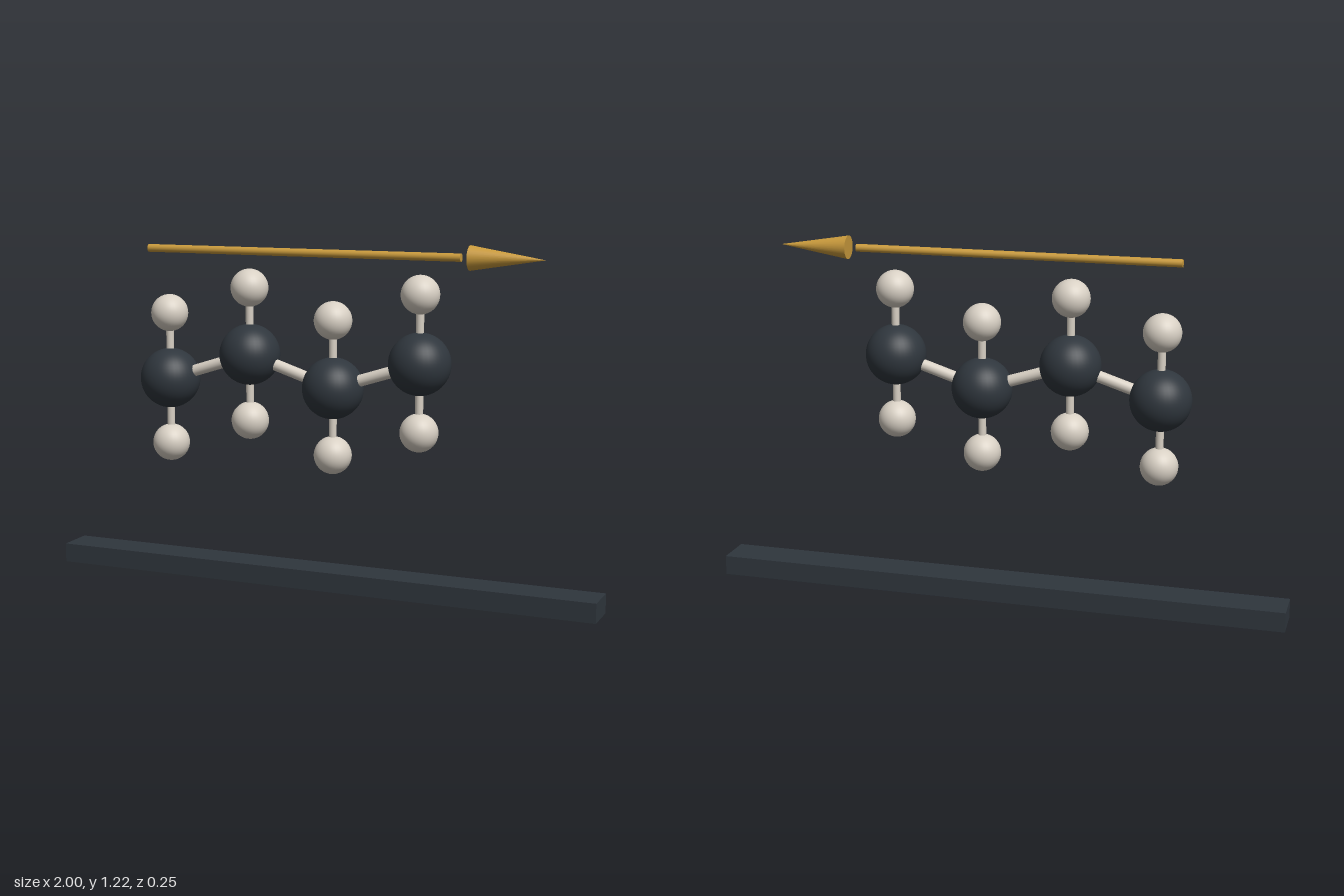
import * as THREE from 'three';

export function createModel() {
  const model = new THREE.Group();
  const material = (name, color) => {
    const m = new THREE.MeshStandardMaterial({ color });
    m.name = name;
    return m;
  };
  const charcoal = material('charcoal', 0x2f363d);
  const ivory = material('ivory', 0xd8d0c4);
  const gold = material('gold', 0xc99a3c);

  const add = (name, geometry, mat, x, y, z, parent = model) => {
    const mesh = new THREE.Mesh(geometry, mat);
    mesh.name = name;
    mesh.position.set(x, y, z);
    parent.add(mesh);
    return mesh;
  };

  // Straight rod between two points in the plane of the chain
  const rod = (name, x0, y0, x1, y1, radius, z, mat, parent) => {
    const length = Math.hypot(x1 - x0, y1 - y0);
    const mesh = add(name, new THREE.CylinderGeometry(radius, radius, length, 24), mat,
      (x0 + x1) / 2, (y0 + y1) / 2, z, parent);
    mesh.rotation.z = Math.atan2(y1 - y0, x1 - x0) - Math.PI / 2;
  };

  // Base bar
  add('baseBar', new THREE.BoxGeometry(2, 0.068, 0.133), charcoal, 0, 0.034, -0.0605);

  // Zigzag chain: large atoms, each with a small atom above and below
  const chain = new THREE.Group();
  chain.name = 'moleculeChain';
  model.add(chain);
  const z = 0.022, reach = 0.23;
  const largeSphere = new THREE.SphereGeometry(0.105, 40, 28);
  const smallSphere = new THREE.SphereGeometry(0.065, 32, 22);
  const centres = [0, 1, 2, 3].map(i => [-0.54 + 0.31 * i, i % 2 ? 0.819 : 0.72]);
  centres.forEach(([x, y], i) => {
    add('largeAtom', largeSphere, charcoal, x, y, z, chain);
    for (const side of [-1, 1]) {
      add('smallAtom', smallSphere, ivory, x, y + side * reach, z, chain);
      rod('shortBond', x, y, x, y + side * reach, 0.0135, z, ivory, chain);
    }
    if (i > 0) rod('chainBond', ...centres[i - 1], x, y, 0.02, z, ivory, chain);
  });

  // Direction arrow: a shaft and a separate cone tip
  const arrow = new THREE.Group();
  arrow.name = 'directionArrow';
  model.add(arrow);
  rod('arrowShaft', -0.595, 1.177, 0.542, 1.177, 0.0135, 0.063, gold, arrow);
  const tip = add('arrowTip', new THREE.ConeGeometry(0.041, 0.25, 28), gold, 0.697, 1.177, 0.063, arrow);
  tip.rotation.z = -Math.PI / 2;

  return model;
}
